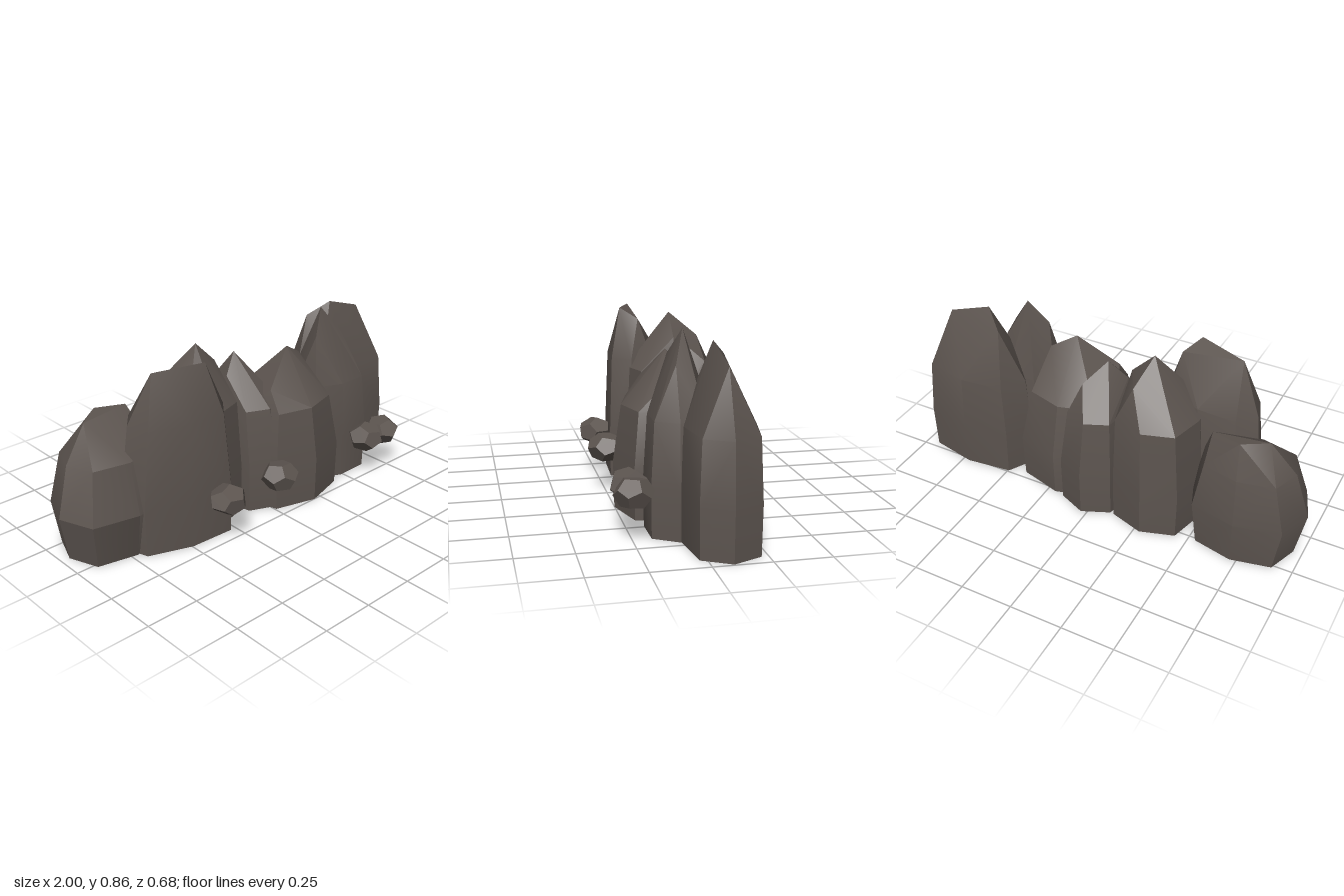
import * as THREE from 'three';
import { toCreasedNormals } from 'three/addons/utils/BufferGeometryUtils.js';
import { ConvexGeometry } from 'three/addons/geometries/ConvexGeometry.js';

const WAIST = 0.22; // height at which every boulder is widest
const SIDES = 8;

// Convex boulder: eight-sided oval rings that shrink towards a crown of a few corners
function rockGeometry({ x, z, rx, rz, turn = 0, foot = 0.98, shoulder, taper, crown }) {
  const points = crown.map((corner) => new THREE.Vector3(...corner));
  const centre = new THREE.Box3().setFromPoints(points).getCenter(new THREE.Vector3());
  const addRing = (y, scale) => {
    for (let i = 0; i < SIDES; i++) {
      const angle = (i / SIDES) * Math.PI * 2;
      const bulge = i % 2 ? 1.1 : 1; // diagonals are fuller than an ellipse
      const u = Math.cos(angle) * rx * bulge;
      const w = Math.sin(angle) * rz * bulge;
      const px = x + u * Math.cos(turn) - w * Math.sin(turn);
      const pz = z + u * Math.sin(turn) + w * Math.cos(turn);
      points.push(new THREE.Vector3(
        THREE.MathUtils.lerp(centre.x, px, scale), y, THREE.MathUtils.lerp(centre.z, pz, scale)));
    }
  };
  addRing(0, foot);
  addRing(WAIST, 1);
  addRing(shoulder, taper);
  return toCreasedNormals(new ConvexGeometry(points), 0.45);
}

export function createModel() {
  const group = new THREE.Group();
  group.name = 'rockFormation';
  const stone = new THREE.MeshStandardMaterial({ color: 0x5c544f });
  stone.name = 'darkStone';

  const addMesh = (name, geometry) => {
    const mesh = new THREE.Mesh(geometry, stone);
    mesh.name = name;
    group.add(mesh);
    return mesh;
  };
  const addRock = (name, shape) => addMesh(name, rockGeometry(shape));

  // Left boulders
  addRock('leftLowRock', {
    x: -0.725, z: -0.11, rx: 0.275, rz: 0.21, foot: 0.87, shoulder: 0.45, taper: 0.78,
    crown: [[-0.81, 0.6, -0.16], [-0.7, 0.61, -0.24], [-0.56, 0.6, -0.2]],
  });
  addRock('leftTallRock', {
    x: -0.465, z: 0.03, rx: 0.28, rz: 0.15, turn: 0.2, shoulder: 0.6, taper: 0.84,
    crown: [[-0.59, 0.83, 0.04], [-0.36, 0.84, 0.12], [-0.3, 0.79, 0.04]],
  });

  // Back boulders
  addRock('backLeftRock', {
    x: -0.28, z: -0.1, rx: 0.21, rz: 0.235, shoulder: 0.56, taper: 0.9,
    crown: [[-0.23, 0.83, -0.1], [-0.19, 0.72, -0.23], [-0.12, 0.72, -0.1]],
  });
  addRock('backMiddleRock', {
    x: 0.03, z: -0.08, rx: 0.17, rz: 0.26, shoulder: 0.5, taper: 0.82,
    crown: [[0, 0.73, -0.1], [0.08, 0.64, -0.2], [-0.08, 0.64, -0.06]],
  });

  // Front and right boulders
  addRock('frontMiddleRock', {
    x: 0.21, z: -0.01, rx: 0.265, rz: 0.265, shoulder: 0.48, taper: 0.82,
    crown: [[0.23, 0.73, 0.02], [0.05, 0.58, 0.1], [0.35, 0.66, -0.02]],
  });
  addRock('rightPeakRock', {
    x: 0.52, z: 0.02, rx: 0.205, rz: 0.155, turn: 0.2, shoulder: 0.5, taper: 0.88,
    crown: [[0.48, 0.86, 0], [0.4, 0.74, 0.05], [0.58, 0.72, 0.05]],
  });
  addRock('rightWideRock', {
    x: 0.71, z: -0.105, rx: 0.29, rz: 0.165, turn: 0.05, shoulder: 0.49, taper: 0.92,
    crown: [[0.64, 0.83, -0.09], [0.85, 0.76, -0.1], [0.55, 0.76, -0.16]],
  });

  // Pebbles along the front
  [-0.35, -0.03, 0.57, 0.69].forEach((x, i) => {
    const turn = 0.3 + i * 0.8;
    const geometry = new THREE.DodecahedronGeometry(1, 0);
    geometry.rotateZ(turn * 0.7).rotateY(turn).scale(0.091, 0.071, 0.088);
    addMesh(`pebble${i + 1}`, geometry).position.set(x, WAIST, 0.25);
  });
  return group;
}
